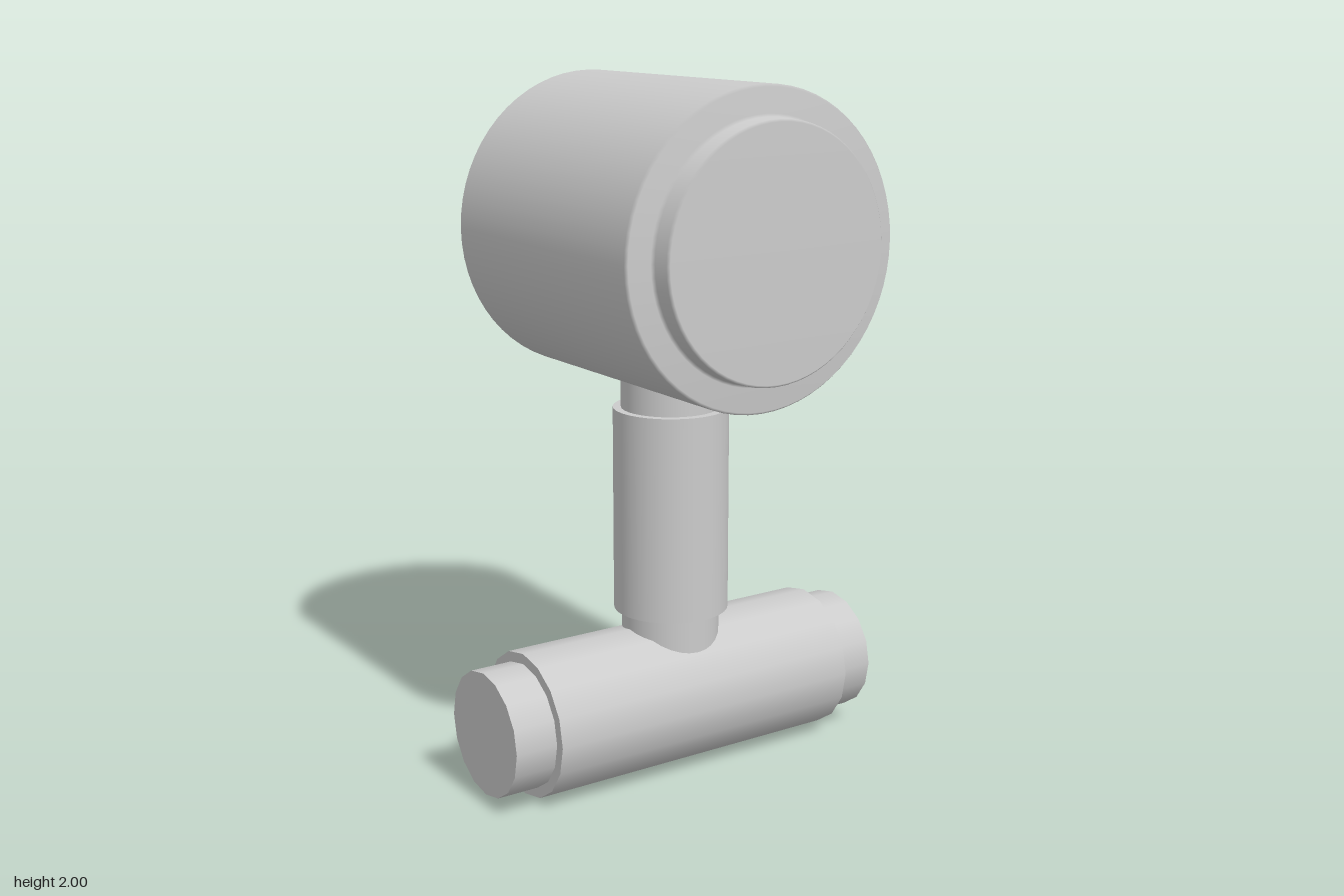
import * as THREE from 'three';

const material = new THREE.MeshStandardMaterial({ color: 0xcccccc });

function add(group, name, geometry, x, y, z) {
  const mesh = new THREE.Mesh(geometry, material);
  mesh.name = name;
  mesh.position.set(x, y, z);
  group.add(mesh);
}

export function createModel() {
  const group = new THREE.Group();
  group.name = 'mallet';

  // Head: bevelled barrel with a raised striking face at each end,
  // mirrored from half a profile of [radius, distance from the middle]
  const half = [
    [0.428, 0.437], [0.435, 0.428],
  ];
  const face = [
    [0, 0.5], [0.343, 0.5], [0.35, 0.492], [0.352, 0.445], [0.36, 0.437],
  ];
  const end = [...face, ...half];
  const profile = [
    ...end.map(([r, d]) => new THREE.Vector2(r, -d)),
    ...end.slice().reverse().map(([r, d]) => new THREE.Vector2(r, d)),
  ];
  add(group, 'head', new THREE.LatheGeometry(profile, 64).rotateX(Math.PI / 2), 0.007, 1.565, 0);

  // Neck running from the grip up into the head, with a thicker sleeve
  add(group, 'neck', new THREE.CylinderGeometry(0.142, 0.142, 1.1, 32), 0.005, 0.75, 0);
  add(group, 'sleeve', new THREE.CylinderGeometry(0.167, 0.167, 0.6, 32), 0.007, 0.77, 0);

  // Crosswise grip with a narrower core showing at both ends
  const grip = (r, length) =>
    new THREE.CylinderGeometry(r, r, length, 16).rotateZ(Math.PI / 2);
  add(group, 'grip', grip(0.211, 1.0), 0.005, 0.211, 0);
  add(group, 'gripCore', grip(0.181, 1.243), -0.001, 0.211, 0);

  return group;
}
